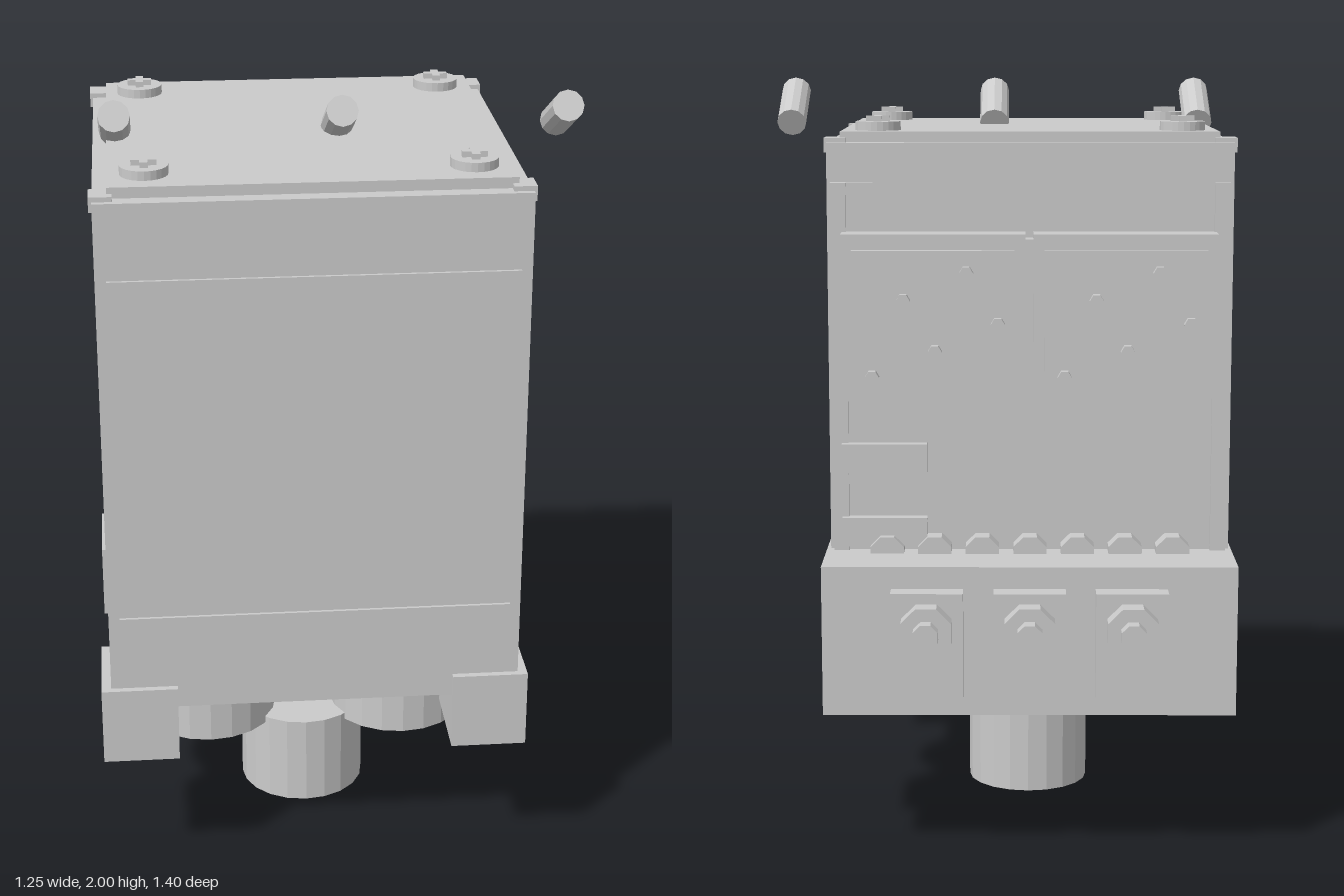
import * as THREE from 'three';

export function createModel() {
  const model = new THREE.Group();
  const grey = new THREE.MeshStandardMaterial({ color: 0xcbcbcb, flatShading: true });
  grey.name = 'plain grey';
  const CX = -0.078; // middle of the cabinet across x

  const add = (name, geometry) => {
    const mesh = new THREE.Mesh(geometry, grey);
    mesh.name = name;
    model.add(mesh);
    return mesh;
  };
  // Box given by its limits on each axis
  const box = (name, x0, x1, y0, y1, z0, z1) =>
    add(name, new THREE.BoxGeometry(x1 - x0, y1 - y0, z1 - z0)
      .translate((x0 + x1) / 2, (y0 + y1) / 2, (z0 + z1) / 2));
  // Upright cylinder
  const post = (name, x, z, r, y0, y1, sides) =>
    add(name, new THREE.CylinderGeometry(r, r, y1 - y0, sides).translate(x, (y0 + y1) / 2, z));
  // Cylinder lying along z
  const stud = (name, x, y, r, z0, z1, sides) =>
    add(name, new THREE.CylinderGeometry(r, r, z1 - z0, sides)
      .rotateY(Math.PI / sides).rotateX(Math.PI / 2).translate(x, y, (z0 + z1) / 2));

  // Cabinet and lid
  box('cabinet', -0.6, 0.445, 0.5, 1.85, -0.335, 0.68);
  box('lid', -0.565, 0.412, 1.85, 1.877, -0.3, 0.64);
  for (const y of [0.747, 1.645]) box('frontTrim', -0.572, 0.418, y - 0.014, y + 0.014, 0.67, 0.688);

  // Corner clips, lid screws and feet
  for (const s of [-1, 1]) {
    for (const [z0, z1] of [[-0.32, -0.25], [0.6, 0.665]]) {
      const x = CX + s * 0.502;
      box('cornerClip', x - 0.028, x + 0.028, 1.825, 1.862, z0, z1);
    }
    for (const z of [-0.193, 0.535]) {
      const x = CX + s * 0.397;
      post('screwHead', x, z, 0.059, 1.875, 1.9, 24);
      box('screwCross', x - 0.031, x + 0.031, 1.895, 1.914, z - 0.01, z + 0.01);
      box('screwCross', x - 0.01, x + 0.01, 1.895, 1.914, z - 0.031, z + 0.031);
    }
    for (const [z0, z1] of [[-0.353, -0.11], [0.457, 0.697]]) {
      const x = CX + s * 0.45;
      box('foot', x - 0.097, x + 0.097, 0.355, 0.56, z0, z1);
    }
  }

  // Tilted rods hovering over the lid
  for (const x of [-0.543, 0.018, 0.58]) {
    const rod = add('tiltedRod', new THREE.CylinderGeometry(0.04, 0.04, 0.186, 12));
    rod.position.set(x, 1.924, 0.264);
    rod.rotation.x = Math.PI / 2 - 0.47;
  }

  // Drums beneath the cabinet
  post('upperDrum', -0.34, 0.215, 0.186, 0.227, 0.51, 20);
  post('upperDrum', 0.185, 0.215, 0.186, 0.227, 0.51, 20);
  post('lowerDrum', CX, 0.195, 0.168, 0, 0.245, 20);

  // Rear panel with side rails
  box('rearPanel', -0.57, 0.415, 0.78, 1.75, -0.343, -0.33);
  box('rearRail', -0.59, -0.55, 0.78, 1.75, -0.357, -0.33);
  box('rearRail', 0.395, 0.435, 0.78, 1.75, -0.357, -0.33);

  // Twin keypads
  const keyHeights = [1.4, 1.53, 1.33, 1.46, 1.265];
  for (const x of [-0.32, 0.17]) {
    box('keypadCase', x - 0.235, x + 0.235, 1.205, 1.625, -0.432, -0.34);
    box('keypadFace', x - 0.207, x + 0.207, 1.245, 1.585, -0.452, -0.43);
    keyHeights.forEach((y, i) => stud('key', x - 0.165 + i * 0.08, y, 0.018, -0.476, -0.45, 6));
  }
  box('keypadBridge', -0.088, -0.062, 1.19, 1.61, -0.4, -0.34);

  // Small bars below the keypads
  for (const y of [0.842, 1.037]) box('panelBar', 0.19, 0.412, y - 0.038, y + 0.038, -0.377, -0.34);

  // Rear control box, with a row of half discs along its top
  box('controlBox', -0.607, 0.455, 0.4, 0.79, -0.552, -0.21);
  for (let i = -3; i <= 3; i++) stud('halfDisc', CX + i * 0.124, 0.79, 0.047, -0.4, -0.34, 8);

  // Control knobs
  for (const x of [-0.336, -0.076, 0.185]) {
    box('knobPlate', x - 0.092, x + 0.092, 0.457, 0.733, -0.607, -0.55);
    stud('knob', x, 0.643, 0.069, -0.66, -0.605, 8);
    stud('knobTip', x, 0.643, 0.034, -0.7, -0.655, 8);
  }
  return model;
}
